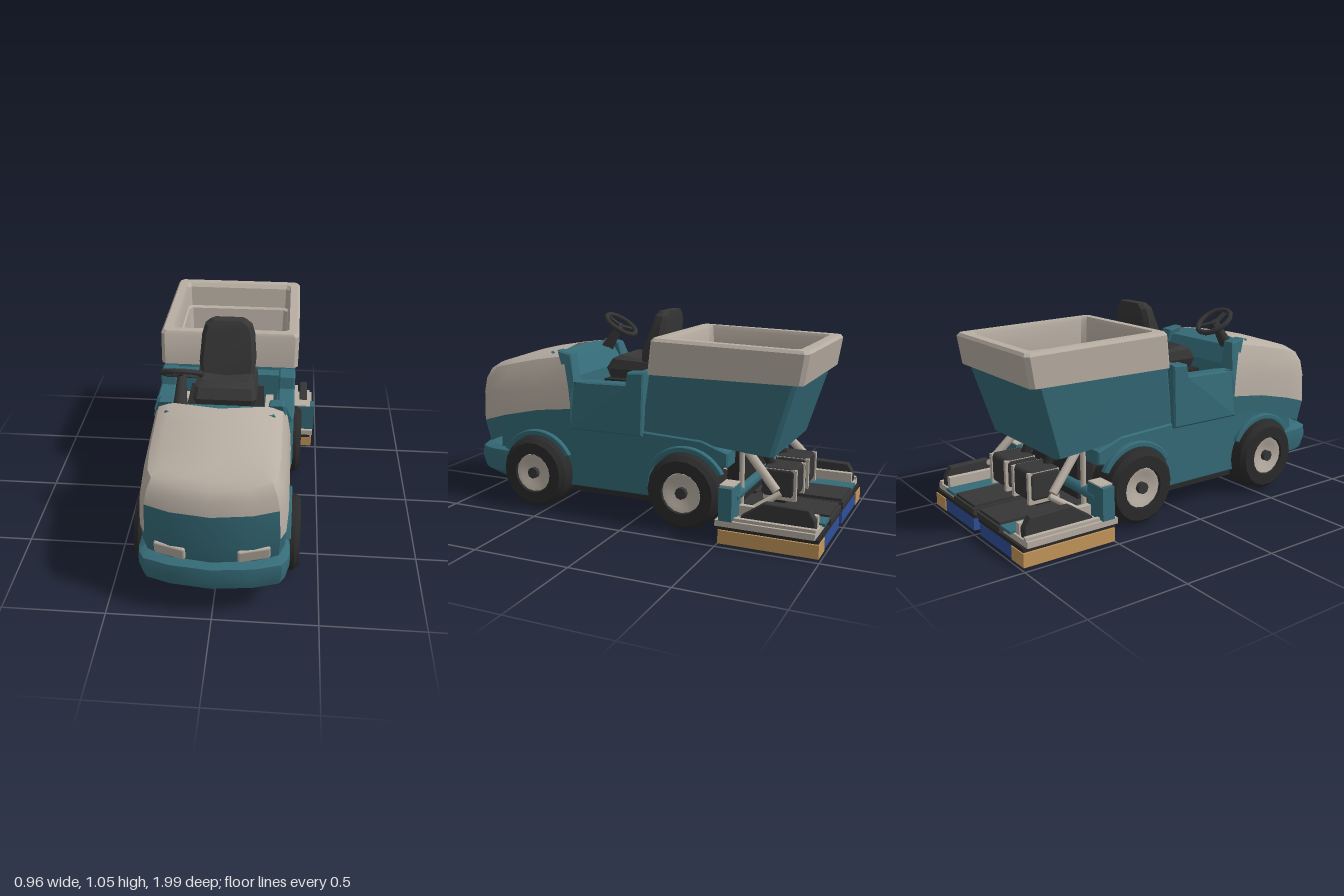
import * as THREE from 'three';
import { toCreasedNormals } from 'three/addons/utils/BufferGeometryUtils.js';
import { RoundedBoxGeometry } from 'three/addons/geometries/RoundedBoxGeometry.js';

const paint = (name, color) => {
  const m = new THREE.MeshStandardMaterial({ color, side: THREE.DoubleSide });
  m.name = name;
  return m;
};

export function createModel() {
  const model = new THREE.Group();
  const teal = paint('teal', 0x356b78), beige = paint('beige', 0xb8aea3), black = paint('black', 0x2b2a2a);
  const charcoal = paint('charcoal', 0x363637), tan = paint('tan bristle', 0xc4955a), blue = paint('blue bristle', 0x2f4f98);

  const add = (name, geo, mat, parent = model) => {
    const mesh = new THREE.Mesh(geo, mat);
    mesh.name = name;
    parent.add(mesh);
    return mesh;
  };
  // Box given by its limits
  const box = (name, mat, x0, x1, y0, y1, z0, z1) => {
    const g = new THREE.BoxGeometry(Math.abs(x1 - x0), y1 - y0, Math.abs(z1 - z0));
    return add(name, g.translate((x0 + x1) / 2, (y0 + y1) / 2, (z0 + z1) / 2), mat);
  };
  // Rod between two points
  const rod = (name, mat, a, b, r) => {
    const p = new THREE.Vector3(...a), q = new THREE.Vector3(...b);
    const m = add(name, new THREE.CylinderGeometry(r, r, p.distanceTo(q), 8), mat);
    m.position.copy(p).add(q).multiplyScalar(0.5);
    m.quaternion.setFromUnitVectors(new THREE.Vector3(0, 1, 0), q.sub(p).normalize());
  };
  // Side profile (z, y) extruded across x from x0 to x1
  const across = (name, mat, shape, x0, x1, bevel = 0.008) => {
    const s = Array.isArray(shape) ? new THREE.Shape(shape.map(p => new THREE.Vector2(...p))) : shape;
    const g = new THREE.ExtrudeGeometry(s, {
      depth: x1 - x0 - 2 * bevel, bevelEnabled: bevel > 0, bevelSize: bevel, bevelThickness: bevel,
      bevelOffset: -bevel, bevelSegments: 1, curveSegments: 14,
    });
    return add(name, g.rotateY(-Math.PI / 2).translate(x1 - bevel, 0, 0), mat);
  };
  // Skin over a stack of cross-sections
  const skin = (name, mat, rings, closed, keep = () => true) => {
    const n = rings[0].length, idx = [];
    for (let i = 0; i < rings.length - 1; i++) {
      for (let j = 0; j < (closed ? n : n - 1); j++) {
        if (!keep(i, j)) continue;
        const k = (j + 1) % n, a = i * n + j, b = i * n + k, c = b + n, d = a + n;
        idx.push(a, b, c, a, c, d);
      }
    }
    const g = new THREE.BufferGeometry();
    g.setAttribute('position', new THREE.Float32BufferAttribute(rings.flat(2), 3));
    g.setIndex(idx);
    return add(name, toCreasedNormals(g, 0.55), mat);
  };
  // U-shaped section, open at the rear, for the nose: [x, share of the straight side, setback from the front]
  const half = [[1, 0, 0.12], [1, 0.4, 0.12], [1, 0.8, 0.12], [0.975, 1, 0.105], [0.9, 1, 0.062], [0.55, 1, 0.022], [0, 1, 0]];
  const outline = [...half.map(([x, ...r]) => [-x, ...r]), ...half.slice(0, -1).reverse()];
  const uRing = ([w, zr, zf, yr, yf, bulge = 0]) => outline.map(([x, f, back]) => {
    const z = zr + (zf - back - zr) * f, s = (z - zr) / (zf - zr);
    return [x * w, yr + (yf - yr) * s + bulge * 4 * s * (1 - s), z];
  });
  // Rectangular section with cut corners
  const rectRing = ([w, zf, zr, yf, yr = yf, c = 0.02]) => {
    const k = Math.min(c, w);
    return [[-w, zr + c], [-w, zf - c], [-w + k, zf], [w - k, zf], [w, zf - c], [w, zr + c], [w - k, zr], [-w + k, zr]]
      .map(([x, z]) => [x, yr + (yf - yr) * (z - zr) / (zf - zr), z]);
  };

  // Lower body with wheel arches
  const zFront = 0.567, zRear = -0.283;
  const body = new THREE.Shape();
  body.moveTo(0.8, 0.15);
  body.absarc(zFront, 0.2, 0.2, -0.3, Math.PI + 0.3, false);
  body.absarc(zRear, 0.2, 0.2, -0.3, Math.PI - 0.7, false);
  [[-0.5, 0.34], [-0.5, 0.41], [-0.36, 0.46], [-0.03, 0.475], [0.36, 0.5], [0.8, 0.4], [0.82, 0.18]]
    .forEach(p => body.lineTo(...p));
  across('lowerBody', teal, body, -0.33, 0.33);
  box('underPlate', black, -0.31, 0.31, 0.11, 0.15, 0.37, -0.08);
  box('chassisRail', black, -0.19, 0.19, 0.115, 0.17, 0.75, -0.5);

  // Nose: teal skirt and grille, beige hood
  const nose = [
    [0.335, 0.36, 0.955, 0.46, 0.29, 0.04], [0.34, 0.36, 0.985, 0.555, 0.415, 0.025], [0.333, 0.375, 0.985, 0.66, 0.59],
    [0.318, 0.4, 0.978, 0.76, 0.66], [0.295, 0.425, 0.955, 0.82, 0.705, 0.01], [0.24, 0.45, 0.925, 0.843, 0.73, 0.018],
    [0, 0.5, 0.9, 0.85, 0.745, 0.015],
  ].map(uRing);
  const isTeal = (i, j) => i === 0 || (i === 1 && j >= 4 && j <= 7);
  skin('noseSkirtAndGrille', teal, nose, false, isTeal);
  skin('hood', beige, nose, false, (i, j) => !isTeal(i, j));
  skin('frontBumper', teal, [
    [0, 0.75, 0.93, 0.13, 0.15], [0.3, 0.75, 0.94, 0.13, 0.15], [0.342, 0.75, 0.985, 0.17, 0.18],
    [0.354, 0.75, 1.0, 0.24, 0.24], [0.35, 0.75, 0.995, 0.29, 0.3], [0.325, 0.75, 0.955, 0.31, 0.32],
    [0, 0.75, 0.9, 0.31, 0.32],
  ].map(uRing), false);
  for (const s of [-1, 1]) {
    const lamp = add('headlight', new RoundedBoxGeometry(0.15, 0.075, 0.03, 1, 0.01), beige);
    lamp.position.set(s * 0.19, 0.365, 0.94);
    lamp.rotation.set(0.23, s * 0.25, 0);
  }

  // Cab: side panels, dash, seat plinth
  for (const s of [-1, 1]) {
    const panel = across('cabSide', teal, [[0.362, 0.45], [0.372, 0.62], [0.46, 0.85], [0.375, 0.835], [0.34, 0.7], [0.27, 0.705],
      [0.04, 0.71], [0.03, 0.77], [-0.06, 0.775], [-0.05, 0.45]], s < 0 ? -0.35 : 0.265, s < 0 ? -0.265 : 0.35);
    const p = panel.geometry.attributes.position;
    for (let i = 0; i < p.count; i++) {
      if (p.getZ(i) > 0.345) p.setX(i, p.getX(i) * (1 - Math.max(0, p.getY(i) - 0.55) * 0.5));
    }
    panel.geometry.computeVertexNormals();
    box('seatRail', beige, s * 0.2, s * 0.24, 0.46, 0.65, 0.3, -0.02);
  }
  across('dash', teal, [[0.335, 0.45], [0.35, 0.72], [0.4, 0.81], [0.52, 0.835], [0.52, 0.45]], -0.26, 0.26);
  box('cabRearWall', teal, -0.28, 0.28, 0.46, 0.765, 0, -0.06);
  box('seatPlinth', black, -0.19, 0.19, 0.46, 0.7, 0.24, -0.02);
  box('footMat', black, -0.19, 0.19, 0.46, 0.5, 0.33, 0.24);

  // Seat
  skin('seatCushion', charcoal, [[0, 0.2, 0, 0.7], [0.14, 0.24, -0.04, 0.7], [0.16, 0.25, -0.04, 0.75],
    [0.15, 0.22, -0.04, 0.8, 0.79], [0.12, 0.18, 0, 0.82, 0.79], [0, 0.16, 0, 0.8, 0.78]].map(rectRing), true);
  skin('seatBack', charcoal, [[0, 0.05, -0.04, 0.72], [0.13, 0.07, -0.05, 0.72], [0.145, 0.05, -0.06, 0.85],
    [0.135, 0.0, -0.075, 0.98], [0.12, -0.01, -0.08, 1.03], [0.09, -0.025, -0.078, 1.055],
    [0, -0.03, -0.075, 1.055]].map(rectRing), true);

  // Steering wheel
  const steering = new THREE.Group();
  steering.name = 'steeringWheel';
  steering.position.set(-0.195, 0.94, 0.335);
  steering.rotation.x = 0.977;
  model.add(steering);
  add('wheelRim', new THREE.TorusGeometry(0.094, 0.014, 6, 14), charcoal, steering);
  for (let i = 0; i < 3; i++) {
    const a = Math.PI / 2 + i * Math.PI * 2 / 3;
    add('spoke', new THREE.BoxGeometry(0.09, 0.022, 0.012).translate(0.045, 0, 0.01).rotateZ(a), charcoal, steering);
  }
  add('column', new THREE.CylinderGeometry(0.035, 0.02, 0.16, 8).rotateX(Math.PI / 2).translate(0, 0, 0.08), charcoal, steering);

  // Hopper: teal tub with open beige rim and liner
  skin('hopperTub', teal, [[0, -0.04, -0.7, 0.47, 0.41], [0.32, -0.03, -0.72, 0.47, 0.41],
    [0.353, -0.09, -0.835, 0.79]].map(rectRing), true);
  skin('hopperRimAndLiner', beige, [[0.34, -0.1, -0.82, 0.77], [0.362, -0.08, -0.862, 0.77], [0.364, -0.1, -0.885, 0.935, 0.915],
    [0.352, -0.11, -0.875, 0.95, 0.93], [0.31, -0.15, -0.83, 0.95, 0.93], [0.303, -0.16, -0.81, 0.93, 0.91],
    [0.3, -0.165, -0.79, 0.8], [0.292, -0.175, -0.775, 0.79], [0.285, -0.18, -0.73, 0.56], [0, -0.19, -0.72, 0.56]].map(rectRing), true);

  // Road wheels and arch flares
  const tyre = [[0.09, 0.2], [0.165, 0.2], [0.19, 0.225], [0.195, 0.3], [0.188, 0.375], [0.165, 0.4], [0.105, 0.4], [0.1, 0.37]];
  const hub = [[0.105, 0.37], [0.1, 0.39], [0.075, 0.385], [0.05, 0.375], [0.0, 0.375]];
  const turned = (pts, n) => toCreasedNormals(
    new THREE.LatheGeometry(pts.map(p => new THREE.Vector2(...p)), n).rotateZ(-Math.PI / 2), 0.5);
  for (const [end, z] of [['front', zFront], ['rear', zRear]]) {
    for (const s of [-1, 1]) {
      const wheel = new THREE.Group();
      wheel.name = end + 'Wheel';
      wheel.position.set(0, 0.2, z);
      wheel.rotation.y = s < 0 ? Math.PI : 0;
      model.add(wheel);
      add('tyre', turned(tyre, 18), black, wheel);
      add('hub', turned(hub, 16), beige, wheel);
      add('hubCap', new THREE.CylinderGeometry(0.03, 0.03, 0.03, 8).rotateZ(Math.PI / 2).translate(0.385, 0, 0), charcoal, wheel);
      const flare = new THREE.Shape();
      flare.absarc(z, 0.2, 0.225, 0.5, Math.PI - 0.5, false);
      flare.absarc(z, 0.2, 0.196, Math.PI - 0.5, 0.5, true);
      across('archFlare', teal, flare, s < 0 ? -0.355 : 0.32, s < 0 ? -0.32 : 0.355, 0.005);
    }
  }

  // Rear sweeping decks
  for (const s of [-1, 1]) {
    const side = (name, mat, x0, x1, ...rest) => box(name, mat, s * x0, s * x1, ...rest);
    side('outerBristles', tan, 0.36, 0.472, 0.008, 0.075, -0.505, -0.99);
    side('innerBristles', blue, 0.035, 0.36, 0.008, 0.075, -0.51, -0.985);
    side('brushCore', black, 0.045, 0.462, 0.002, 0.03, -0.515, -0.98);
    side('brushPlate', black, 0.02, 0.462, 0.075, 0.095, -0.495, -0.985);
    side('outerTray', beige, 0.25, 0.475, 0.095, 0.125, -0.49, -0.97);
    side('innerTray', charcoal, 0.02, 0.245, 0.095, 0.125, -0.49, -0.99);
    side('deckPad', charcoal, 0.03, 0.235, 0.125, 0.14, -0.56, -0.98);
    side('deckStrip', teal, 0.25, 0.345, 0.12, 0.135, -0.52, -0.985);
    side('endBox', teal, 0.35, 0.48, 0.125, 0.285, -0.51, -0.575);
    side('endBoxCap', beige, 0.355, 0.455, 0.285, 0.292, -0.505, -0.575);
    side('innerRail', beige, 0.355, 0.385, 0.12, 0.18, -0.58, -0.96);
    side('outerRail', beige, 0.44, 0.462, 0.12, 0.14, -0.58, -0.97);
    across('deckWedge', charcoal, [[-0.6, 0.125], [-0.61, 0.15], [-0.72, 0.225], [-0.93, 0.22], [-0.96, 0.17], [-0.96, 0.125]],
      s < 0 ? -0.44 : 0.395, s < 0 ? -0.395 : 0.44, 0.004);
    // Drive motor with straps, lift arms
    add('brushMotor', new RoundedBoxGeometry(0.18, 0.15, 0.17, 1, 0.02).translate(s * 0.115, 0.255, -0.715), charcoal);
    for (const x of [0.04, 0.19]) side('motorStrap', beige, x - 0.01, x + 0.01, 0.17, 0.325, -0.64, -0.806);
    side('motorFoot', black, 0.07, 0.15, 0.13, 0.21, -0.66, -0.74);
    rod('motorPost', black, [s * 0.11, 0.43, -0.6], [s * 0.11, 0.28, -0.67], 0.025);
    rod('liftArm', beige, [s * 0.27, 0.42, -0.58], [s * 0.31, 0.25, -0.74], 0.022);
    rod('liftLink', beige, [s * 0.31, 0.24, -0.76], [s * 0.37, 0.15, -0.62], 0.016);
    rod('armStay', beige, [s * 0.29, 0.42, -0.56], [s * 0.29, 0.13, -0.56], 0.014);
  }
  box('rearSupport', black, -0.22, 0.22, 0.15, 0.42, -0.46, -0.55);
  rod('crossBar', teal, [-0.4, 0.22, -0.55], [0.4, 0.22, -0.55], 0.03);

  return model;
}
